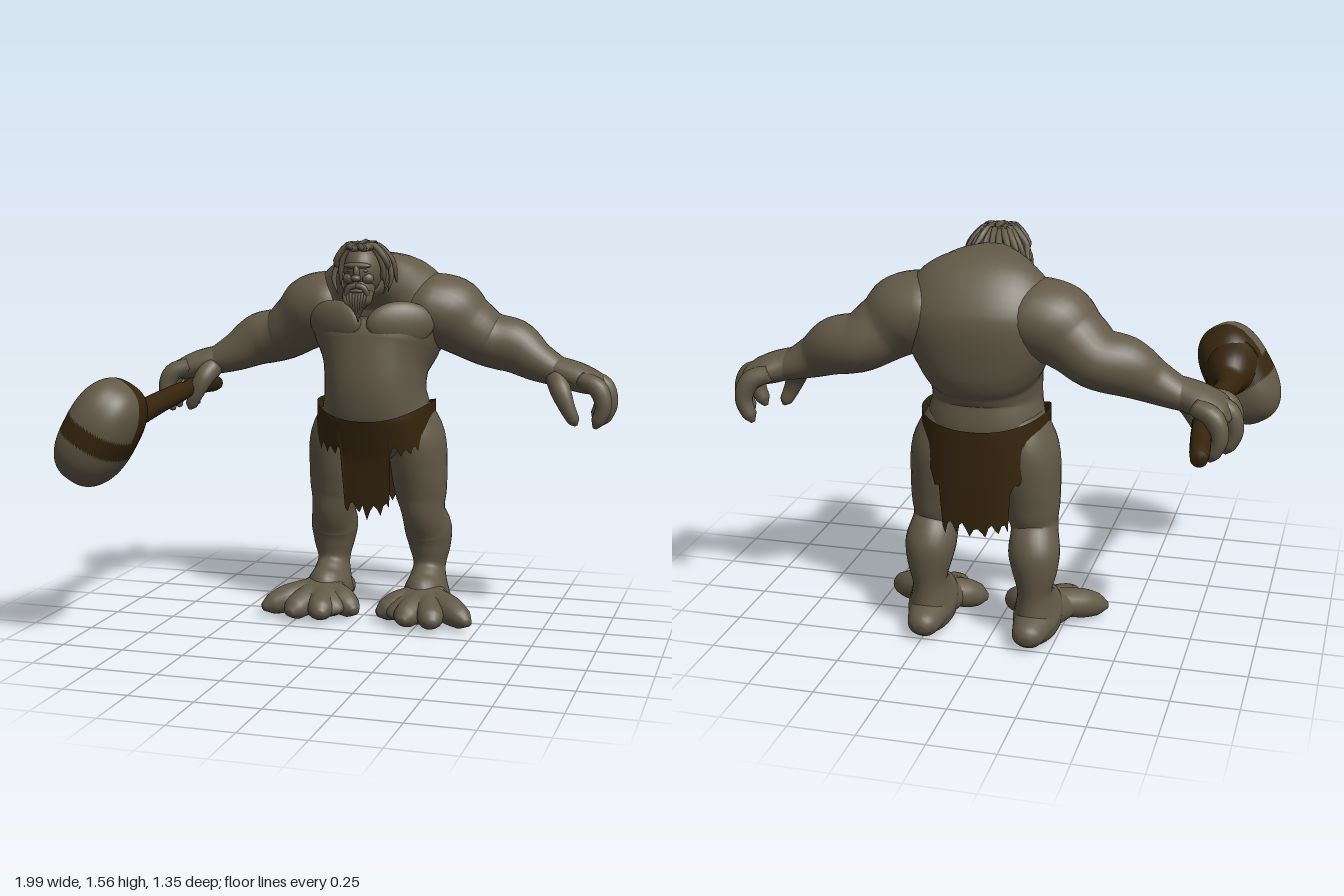
import * as THREE from 'three';
import { mergeVertices } from 'three/addons/utils/BufferGeometryUtils.js';

const X = new THREE.Vector3(1, 0, 0), Z = new THREE.Vector3(0, 0, 1);

// Smooth closed body through elliptical sections [x, y, z, a, b]; b lies along ref
function loft(sections, ref, sides = 20, steps = 5, square = 1) {
  const path = new THREE.CatmullRomCurve3(sections.map(s => new THREE.Vector3(s[0], s[1], s[2])));
  const size = new THREE.CatmullRomCurve3(sections.map(s => new THREE.Vector3(s[3], s[4], 0)));
  const rings = (sections.length - 1) * steps, pos = [], idx = [];
  const bend = v => Math.sign(v) * Math.abs(v) ** square;
  for (let i = 0; i <= rings; i++) {
    const t = i / rings, c = path.getPoint(t), r = size.getPoint(t), T = path.getTangent(t);
    const N = ref.clone().addScaledVector(T, -ref.dot(T)).normalize();
    const M = N.clone().cross(T);
    for (let j = 0; j < sides; j++) {
      const q = j / sides * Math.PI * 2;
      const p = c.clone().addScaledVector(M, Math.max(r.x, 0.002) * bend(Math.cos(q)))
        .addScaledVector(N, Math.max(r.y, 0.002) * bend(Math.sin(q)));
      pos.push(p.x, p.y, p.z);
      if (i < rings) {
        const a = i * sides + j, b = i * sides + (j + 1) % sides;
        idx.push(a, b, a + sides, b, b + sides, a + sides);
      }
    }
  }
  const first = sections[0], last = sections[sections.length - 1], k = pos.length / 3;
  pos.push(first[0], first[1], first[2], last[0], last[1], last[2]);
  for (let j = 0; j < sides; j++) {
    const n = (j + 1) % sides, e = rings * sides;
    idx.push(k, n, j, k + 1, e + j, e + n);
  }
  const g = new THREE.BufferGeometry();
  g.setAttribute('position', new THREE.Float32BufferAttribute(pos, 3));
  g.setIndex(idx);
  g.computeVertexNormals();
  return g;
}

export function createModel() {
  const skin = new THREE.MeshStandardMaterial({ color: 0x625947 });
  skin.name = 'skin';
  const hide = new THREE.MeshStandardMaterial({ color: 0x36250d, side: THREE.DoubleSide });
  hide.name = 'brown hide and wood';

  const model = new THREE.Group();
  model.name = 'ogre';
  const body = new THREE.Group();
  body.name = 'body';
  body.position.x = 0.04;
  model.add(body);

  const add = (parent, name, geo, mat = skin) => {
    const m = new THREE.Mesh(geo, mat);
    m.name = name;
    parent.add(m);
    return m;
  };
  const blob = (parent, name, p, r) => {
    const m = add(parent, name, new THREE.SphereGeometry(1, 24, 16));
    m.position.set(...p);
    m.scale.set(...r);
    return m;
  };

  // Hunched torso, bending forward into the neck
  add(body, 'torso', loft([
    [0, 0.70, -0.33, 0.16, 0.11], [0, 0.78, -0.305, 0.215, 0.185], [0, 0.86, -0.293, 0.22, 0.203],
    [0, 0.95, -0.28, 0.203, 0.21], [0, 1.03, -0.29, 0.208, 0.22], [0, 1.12, -0.318, 0.25, 0.238],
    [0, 1.20, -0.34, 0.285, 0.232], [0, 1.27, -0.345, 0.295, 0.23], [0, 1.335, -0.325, 0.275, 0.194],
    [0, 1.38, -0.265, 0.205, 0.138], [0, 1.405, -0.195, 0.125, 0.1], [0, 1.42, -0.12, 0.07, 0.08],
  ], Z, 48, 5, 0.88));

  for (const s of [1, -1]) {
    const side = s > 0 ? 'left' : 'right';
    const part = (name, pts, ref, sides) =>
      add(body, side + name, loft(pts.map(p => [s * p[0], ...p.slice(1)]), ref, sides));

    blob(body, side + 'Pectoral', [s * 0.135, 1.225, -0.165], [0.14, 0.09, 0.045]).rotation.y = s * 0.5;

    // Arm, palm and fingers
    part('Arm', [
      [0.10, 1.29, -0.36, 0.08, 0.12], [0.2, 1.28, -0.37, 0.14, 0.17], [0.28, 1.255, -0.38, 0.152, 0.165],
      [0.36, 1.2, -0.395, 0.128, 0.135], [0.44, 1.15, -0.42, 0.112, 0.128], [0.54, 1.125, -0.415, 0.11, 0.108],
      [0.64, 1.07, -0.39, 0.082, 0.08], [0.72, 1.035, -0.385, 0.062, 0.075], [0.78, 1.015, -0.385, 0.05, 0.07],
    ], Z, 28);
    part('Palm', [
      [0.66, 1.06, -0.385, 0.045, 0.055], [0.75, 1.03, -0.38, 0.058, 0.078], [0.83, 1.005, -0.385, 0.056, 0.1],
      [0.885, 0.985, -0.39, 0.045, 0.098], [0.925, 0.96, -0.39, 0.012, 0.06],
    ], Z, 24);
    for (const [name, z, spread, dx] of [['Index', -0.32, 0.03, 0], ['Middle', -0.392, 0, 0.012], ['Little', -0.46, -0.03, -0.03]])
      part(name + 'Finger', [
        [0.83 + dx, 1.01, z, 0.033, 0.036], [0.9 + dx, 0.98, z + spread * 0.7, 0.039, 0.039],
        [0.925 + dx, 0.91, z + spread, 0.033, 0.035], [0.905 + dx, 0.85, z + spread, 0.027, 0.029],
        [0.892 + dx, 0.822, z + spread, 0.008, 0.008],
      ], Z, 14);
    part('Thumb', [
      [0.73, 1.01, -0.34, 0.045, 0.045], [0.755, 0.965, -0.295, 0.042, 0.04],
      [0.785, 0.9, -0.28, 0.032, 0.03], [0.81, 0.85, -0.285, 0.025, 0.025], [0.82, 0.83, -0.287, 0.007, 0.007],
    ], Z, 14);

    // Leg flowing into the instep, foot and toes
    part('Leg', [
      [0.12, 0.88, -0.31, 0.09, 0.14], [0.165, 0.75, -0.318, 0.115, 0.152], [0.175, 0.62, -0.322, 0.115, 0.13],
      [0.183, 0.52, -0.325, 0.106, 0.105], [0.193, 0.44, -0.328, 0.09, 0.09], [0.203, 0.36, -0.375, 0.098, 0.1],
      [0.208, 0.28, -0.385, 0.085, 0.087], [0.208, 0.21, -0.382, 0.067, 0.077], [0.208, 0.15, -0.362, 0.076, 0.108],
      [0.21, 0.09, -0.335, 0.093, 0.15], [0.212, 0.04, -0.325, 0.085, 0.15],
    ], Z, 28);
    part('Foot', [
      [0.205, 0.05, -0.53, 0.02, 0.025], [0.205, 0.058, -0.505, 0.048, 0.055], [0.208, 0.068, -0.43, 0.063, 0.075],
      [0.21, 0.083, -0.32, 0.08, 0.09], [0.22, 0.075, -0.22, 0.072, 0.125], [0.225, 0.058, -0.14, 0.053, 0.135],
      [0.23, 0.045, -0.1, 0.015, 0.09],
    ], X, 24);
    [[0.045, -0.15], [0.17, -0.05], [0.30, -0.045], [0.435, -0.11]].forEach(([x, z], i) => {
      const at = (t, y, a, b) => [0.22 + (x - 0.22) * t, y, -0.27 + (z + 0.27) * t, a, b];
      part('Toe' + (i + 1), i % 3
        ? [at(0.1, 0.1, 0.05, 0.055), at(0.55, 0.07, 0.055, 0.058), at(0.84, 0.052, 0.045, 0.05), at(1, 0.042, 0.015, 0.02)]
        : [at(0.1, 0.1, 0.05, 0.06), at(0.55, 0.072, 0.058, 0.06), at(0.84, 0.052, 0.045, 0.045), at(1, 0.04, 0.015, 0.018)],
      i % 3 ? X : Z, 16);
    });
  }

  // Head and face
  const head = new THREE.Group();
  head.name = 'head';
  body.add(head);
  blob(head, 'skull', [0, 1.44, -0.1], [0.076, 0.1, 0.098]);
  blob(head, 'jaw', [0, 1.37, -0.065], [0.056, 0.06, 0.06]);
  blob(head, 'beardBase', [0, 1.335, -0.04], [0.043, 0.05, 0.036]);
  blob(head, 'brow', [0, 1.46, -0.014], [0.056, 0.013, 0.02]);
  blob(head, 'noseBridge', [0, 1.435, -0.003], [0.012, 0.03, 0.016]);
  blob(head, 'noseTip', [0, 1.412, 0.004], [0.02, 0.014, 0.02]);
  blob(head, 'lip', [0, 1.362, -0.008], [0.03, 0.008, 0.012]);
  for (const s of [1, -1]) {
    blob(head, 'cheek', [s * 0.036, 1.41, -0.03], [0.026, 0.022, 0.022]);
    blob(head, 'eye', [s * 0.03, 1.44, -0.019], [0.012, 0.007, 0.01]);
    blob(head, 'ear', [s * 0.082, 1.43, -0.1], [0.014, 0.032, 0.022]);
    add(head, 'moustache', loft([[0, 1.385, 0, 0.01, 0.01], [s * 0.03, 1.375, 0, 0.012, 0.01],
      [s * 0.045, 1.34, -0.01, 0.009, 0.009], [s * 0.04, 1.31, -0.015, 0.002, 0.002]], Z, 8));
  }

  // Matted hair, two uneven layers swept to the back and sides
  for (let layer = 0; layer < 2; layer++)
    for (let i = 0; i < 15; i++) {
      const q = (i / 14 - 0.5) * 4.1, w = Math.sin(i * 2.7 + layer * 1.9), r = 0.085 + layer * 0.018;
      const sx = Math.sin(q), cz = Math.cos(q);
      add(head, 'hairStrand', loft([
        [sx * 0.025, 1.525 + layer * 0.008, -0.04 - 0.01 * w, 0.012, 0.018],
        [sx * r * 0.6, 1.53 + w * 0.006, -0.1 - cz * r * 0.7, 0.013, 0.02],
        [sx * r * (1.03 + 0.08 * w), 1.478, -0.12 - cz * r * 1.05, 0.012, 0.018],
        [sx * r * 1.15, 1.43 + w * 0.025, -0.125 - cz * r * 1.1 - 0.02 * w, 0.01, 0.012],
        [sx * (r * 1.15 + 0.02 * w), 1.38 + w * 0.035, -0.13 - cz * r * 1.1 - 0.03 * w, 0.002, 0.002],
      ], Z, 8, 3));
    }
  // Pointed beard
  for (let i = 0; i < 9; i++) {
    const x = (i - 4) * 0.012, low = 1.24 + Math.abs(i - 4) * 0.014;
    add(head, 'beardStrand', loft([
      [x, 1.36, -0.03, 0.014, 0.022], [x * 0.9, 1.325, -0.02, 0.014, 0.027],
      [x * 0.6, (1.325 + low) / 2, -0.02, 0.011, 0.02], [x * 0.3, low, -0.03, 0.002, 0.003],
    ], Z, 8, 3));
  }

  // Ragged loincloth: short at the hips, long flaps at front and back
  const cols = 128, rows = 14, pos = [], idx = [];
  for (let i = 0; i <= cols; i++) {
    const q = i / cols * Math.PI * 2, sx = Math.sin(q), cz = Math.cos(q), ax = Math.abs(sx);
    const k = i % cols, rag = Math.abs(Math.sin(k * 0.8)) * 0.7 + Math.abs(Math.sin(k * 2.9)) * 0.3;
    const front = cz > 0, flap = front ? 0.36 : 0.48;
    const low = ax < flap ? 0.425 + rag * 0.075
      : ax < 0.86 ? (front ? 0.685 + rag * 0.055 : 0.59 + (ax - flap) * 0.32 + rag * 0.04)
      : 0.76 + rag * 0.03;
    const top = 0.84 + 0.065 * ax * ax + (front ? 0 : 0.025 * cz * cz);
    for (let j = 0; j <= rows; j++) {
      const y = top + (low - top) * j / rows, d = Math.max(0, 0.84 - y);
      const rz = front ? 0.225 - 0.3 * Math.min(d, 0.16) - 0.13 * Math.max(0, d - 0.16) : 0.22 - d * 0.07;
      const rx = 0.238 + Math.min(d, 0.1) * 0.1;
      const bx = Math.sign(sx) * ax ** 0.9, bz = Math.sign(cz) * Math.abs(cz) ** 0.8;
      pos.push(rx * bx, y, -0.3 + rz * bz);
      if (i < cols && j < rows) {
        const a = i * (rows + 1) + j, b = a + rows + 1;
        idx.push(a, a + 1, b, b, a + 1, b + 1);
      }
    }
  }
  const cloth = new THREE.BufferGeometry();
  cloth.setAttribute('position', new THREE.Float32BufferAttribute(pos, 3));
  cloth.setIndex(idx);
  cloth.computeVertexNormals();
  add(body, 'loincloth', cloth, hide);

  // Club: wooden shaft flaring into the head
  const club = new THREE.Group();
  club.name = 'club';
  model.add(club);
  add(club, 'clubShaft', loft([
    [-0.81, 0.893, -0.675, 0.03, 0.03], [-0.805, 0.9, -0.62, 0.038, 0.036], [-0.785, 0.918, -0.42, 0.04, 0.038],
    [-0.78, 0.915, -0.2, 0.04, 0.038], [-0.785, 0.9, 0, 0.044, 0.04], [-0.795, 0.878, 0.2, 0.048, 0.046],
    [-0.795, 0.878, 0.28, 0.06, 0.058], [-0.79, 0.89, 0.345, 0.1, 0.09], [-0.79, 0.89, 0.42, 0.132, 0.115],
  ], X, 24), hide);

  // Club head: barrel-shaped stone with a wooden back and a strap around the middle
  let lump = new THREE.SphereGeometry(1, 96, 72);
  lump.deleteAttribute('uv');
  lump.deleteAttribute('normal');
  lump = mergeVertices(lump, 1e-4);
  const P = lump.attributes.position, soft = (v, e) => Math.sign(v) * Math.abs(v) ** e;
  for (let i = 0; i < P.count; i++)
    P.setXYZ(i, soft(P.getX(i), 0.78) * 0.135, soft(P.getY(i), 0.78) * 0.216, soft(P.getZ(i), 0.88) * 0.165);
  const wood = [], stone = [], old = lump.index.array;
  for (let i = 0; i < old.length; i += 3) {
    const t = [old[i], old[i + 1], old[i + 2]];
    const mid = get => (get(t[0]) + get(t[1]) + get(t[2])) / 3;
    const x = mid(n => P.getX(n)), u = mid(n => P.getY(n)), z = mid(n => P.getZ(n));
    const brown = Math.abs(u) < 0.038 || (u > 0 && z < -0.02 + u * 0.1 + x * 0.3);
    (brown ? wood : stone).push(...t);
  }
  lump.setIndex([...wood, ...stone]);
  lump.addGroup(0, wood.length, 0);
  lump.addGroup(wood.length, stone.length, 1);
  lump.computeVertexNormals();
  const clubHead = add(club, 'clubHead', lump, [hide, skin]);
  clubHead.position.set(-0.812, 0.848, 0.508);
  clubHead.rotation.z = -Math.PI / 6;

  return model;
}
